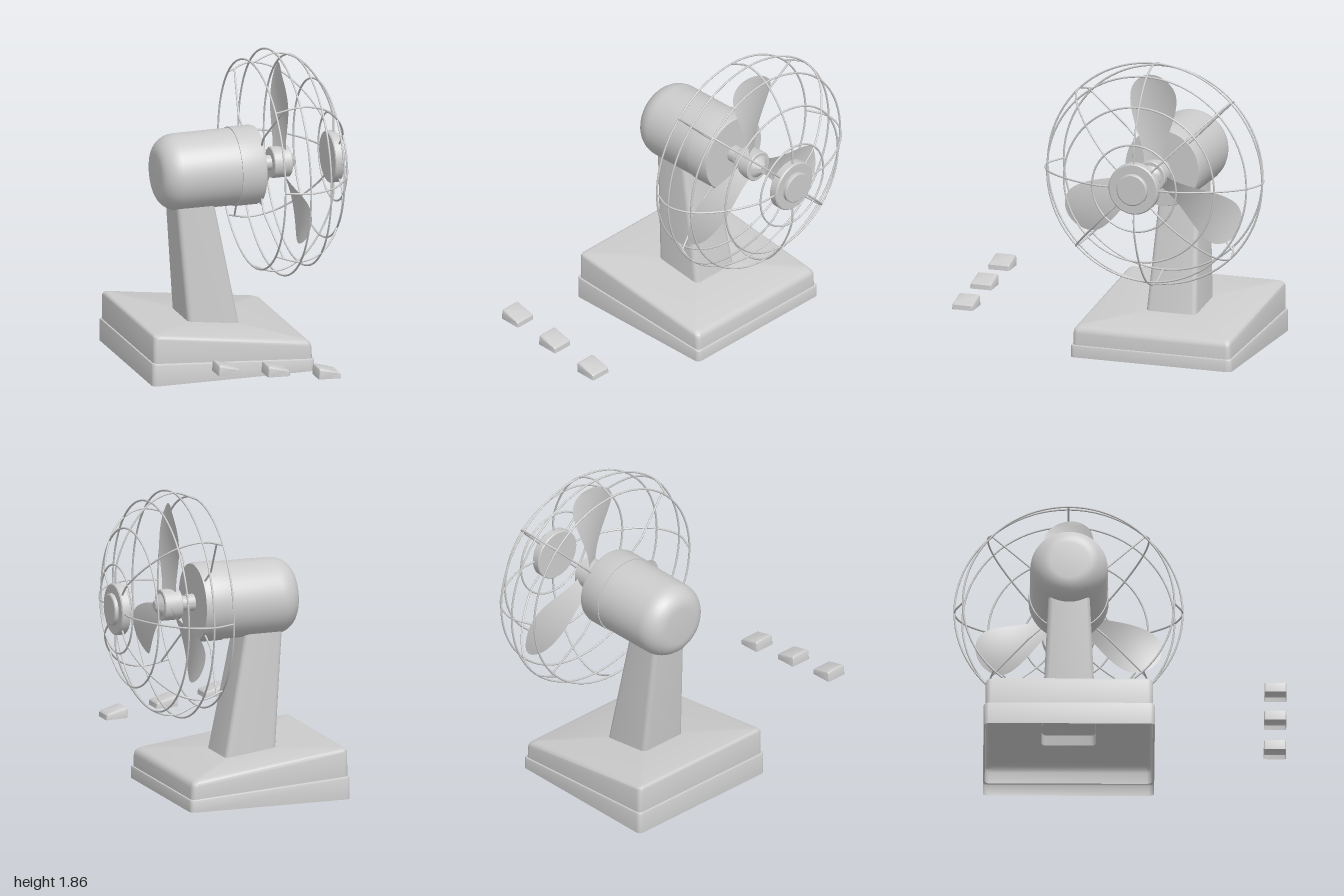
import * as THREE from 'three';
import { toCreasedNormals } from 'three/addons/utils/BufferGeometryUtils.js';
import { ParametricGeometry } from 'three/addons/geometries/ParametricGeometry.js';

const grey = new THREE.MeshStandardMaterial({ color: 0xcccccc, side: THREE.DoubleSide });

function part(name, geometry, parent, crease = 0.6) {
  const mesh = new THREE.Mesh(crease ? toCreasedNormals(geometry, crease) : geometry, grey);
  mesh.name = name;
  parent.add(mesh);
  return mesh;
}

// Rounded-rectangle outline in x/z, as a loop of [x, z]
function outline(x0, x1, z0, z1, r, steps = 5) {
  const pts = [];
  const corners = [[x1 - r, z1 - r], [x0 + r, z1 - r], [x0 + r, z0 + r], [x1 - r, z0 + r]];
  corners.forEach(([cx, cz], c) => {
    for (let i = 0; i <= steps; i++) {
      const a = (c + i / steps) * Math.PI / 2;
      pts.push([cx + r * Math.cos(a), cz + r * Math.sin(a)]);
    }
  });
  return pts;
}

// Skin over stacked outlines [x0, x1, z half-width, corner radius, y at x0, y at x1]; open below
function shell(rings, cap = true) {
  const pos = [], idx = [];
  let n = 0;
  for (const [x0, x1, hz, r, yL, yR] of rings) {
    const loop = outline(x0, x1, -hz, hz, r);
    n = loop.length;
    for (const [x, z] of loop) pos.push(x, yL + (yR - yL) * (x - x0) / (x1 - x0), z);
  }
  for (let k = 0; k < rings.length - 1; k++) {
    for (let i = 0; i < n; i++) {
      const a = k * n + i, b = k * n + (i + 1) % n;
      idx.push(a, a + n, b, b, a + n, b + n);
    }
  }
  if (cap) {
    const [x0, x1, , , yL, yR] = rings[rings.length - 1];
    const top = (rings.length - 1) * n;
    pos.push((x0 + x1) / 2, (yL + yR) / 2, 0);
    for (let i = 0; i < n; i++) idx.push(top + i, rings.length * n, top + (i + 1) % n);
  }
  const g = new THREE.BufferGeometry();
  g.setAttribute('position', new THREE.Float32BufferAttribute(pos, 3));
  g.setIndex(idx);
  g.computeVertexNormals();
  return g;
}

// Turned part about the x axis from [x, radius] pairs
function turned(profile) {
  const pts = profile.map(([x, r]) => new THREE.Vector2(r, x));
  return new THREE.LatheGeometry(pts, 48).rotateZ(-Math.PI / 2);
}

// Wire through [x, radius] pairs, lying in the plane above the axis
function wire(pairs, segments, straight) {
  const v = pairs.map(([x, r]) => new THREE.Vector3(x, r, 0));
  let curve = new THREE.CatmullRomCurve3(v);
  if (straight) {
    curve = new THREE.CurvePath();
    for (let i = 1; i < v.length; i++) curve.add(new THREE.LineCurve3(v[i - 1], v[i]));
  }
  return new THREE.TubeGeometry(curve, segments, 0.006, 8);
}

export function createModel() {
  const model = new THREE.Group();
  model.name = 'deskFan';
  const Z = -0.305;

  // Hollow sloping base with a lower lip
  const base = new THREE.Group();
  base.name = 'base';
  base.position.z = Z;
  model.add(base);
  part('baseShell', shell([
    [-0.68, 0.35, 0.514, 0.03, 0, 0],
    [-0.68, 0.35, 0.514, 0.03, 0.13, 0.066],
    [-0.677, 0.347, 0.511, 0.03, 0.138, 0.073],
    [-0.669, 0.339, 0.503, 0.03, 0.14, 0.075],
    [-0.668, 0.336, 0.502, 0.03, 0.29, 0.145],
    [-0.664, 0.331, 0.498, 0.03, 0.302, 0.166],
    [-0.656, 0.318, 0.488, 0.03, 0.309, 0.18],
    [-0.642, 0.298, 0.472, 0.03, 0.311, 0.19],
  ]), base);

  // Leaning, tapered neck
  part('neck', shell([
    [-0.328, 0.002, 0.163, 0.03, 0.17, 0.17],
    [-0.334, -0.012, 0.16, 0.03, 0.235, 0.235],
    [-0.392, -0.152, 0.125, 0.03, 0.97, 0.97],
    [-0.395, -0.165, 0.12, 0.03, 1.05, 1.05],
  ], false), base);

  // Three hollow control keys
  const keys = new THREE.Group();
  keys.name = 'controlKeys';
  model.add(keys);
  for (const [x, y] of [[-0.53, 0.28], [-0.217, 0.241], [0.105, 0.196]]) {
    const key = part('controlKey', shell([
      [0, 0.14, 0.067, 0.008, 0.004, 0],
      [0.003, 0.137, 0.066, 0.008, 0.06, 0.028],
      [0.007, 0.131, 0.062, 0.008, 0.067, 0.035],
      [0.015, 0.12, 0.055, 0.008, 0.07, 0.04],
    ]), keys);
    key.position.set(x, y, 0.933);
  }

  // Head: everything centred on the fan axis
  const head = new THREE.Group();
  head.name = 'head';
  head.position.set(0, 1.17, Z);
  model.add(head);

  const dome = [[-0.49, 0]];
  for (let i = 0; i <= 8; i++) {
    const a = i / 8 * Math.PI / 2;
    dome.push([-0.36 - 0.13 * Math.cos(a), 0.115 + 0.118 * Math.sin(a)]);
  }
  part('motorHousing', turned([...dome, [-0.015, 0.234]]), head);
  part('motorCollar', turned([
    [-0.015, 0.225], [-0.015, 0.24], [0.12, 0.24], [0.14, 0.234], [0.14, 0],
  ]), head);
  part('shaft', turned([[0.14, 0.052], [0.19, 0.052], [0.19, 0.045], [0.24, 0.045]]), head);
  part('hub', turned([
    [0.235, 0], [0.235, 0.09], [0.24, 0.095], [0.345, 0.095], [0.35, 0.09],
    [0.35, 0.07], [0.39, 0.025], [0.39, 0],
  ]), head);

  // Three twisted blades
  const blades = new THREE.Group();
  blades.name = 'blades';
  head.add(blades);
  const bladeGeometry = new ParametricGeometry((u, v, target) => {
    const t = Math.sin(u * Math.PI / 2);
    const half = t < 0.76
      ? THREE.MathUtils.lerp(0.055, 0.15, THREE.MathUtils.smoothstep(t, 0, 0.76))
      : 0.15 * Math.sqrt(Math.max(0, 1 - ((t - 0.76) / 0.24) ** 2));
    const s = (v * 2 - 1) * half;
    const pitch = THREE.MathUtils.lerp(0.5, -0.2, Math.min(1, t * 1.05));
    target.set(0.293 + s * Math.sin(pitch), 0.08 + 0.54 * t, s * Math.cos(pitch));
  }, 28, 10);
  for (let i = 0; i < 3; i++) {
    part('blade', bladeGeometry, blades, 0).rotation.x = i * Math.PI * 2 / 3;
  }

  // Wire cage: rings, ribs and mounting struts
  const cage = new THREE.Group();
  cage.name = 'cage';
  head.add(cage);
  const rings = [[0.12, 0.635], [0.265, 0.685], [0.41, 0.637], [0.545, 0.48], [0.632, 0.268]];
  for (const [x, r] of rings) {
    const ring = new THREE.TorusGeometry(r, 0.006, 8, 80).rotateY(Math.PI / 2);
    part('cageRing', ring, cage, 0).position.x = x;
  }
  const rib = wire([...rings, [0.637, 0.14]], 48);
  const strut = wire([[0.165, 0.65], [0.115, 0.33], [0.13, 0.2]], 16, true);
  for (let i = 0; i < 8; i++) {
    part('cageRib', rib, cage, 0).rotation.x = i * Math.PI / 4;
    if (i % 2) part('cageStrut', strut, cage, 0).rotation.x = i * Math.PI / 4;
  }
  part('cageCap', turned([
    [0.598, 0], [0.598, 0.152], [0.603, 0.157], [0.648, 0.157], [0.655, 0.15],
    [0.655, 0.097], [0.674, 0.097], [0.679, 0.09], [0.679, 0],
  ]), cage);

  return model;
}
